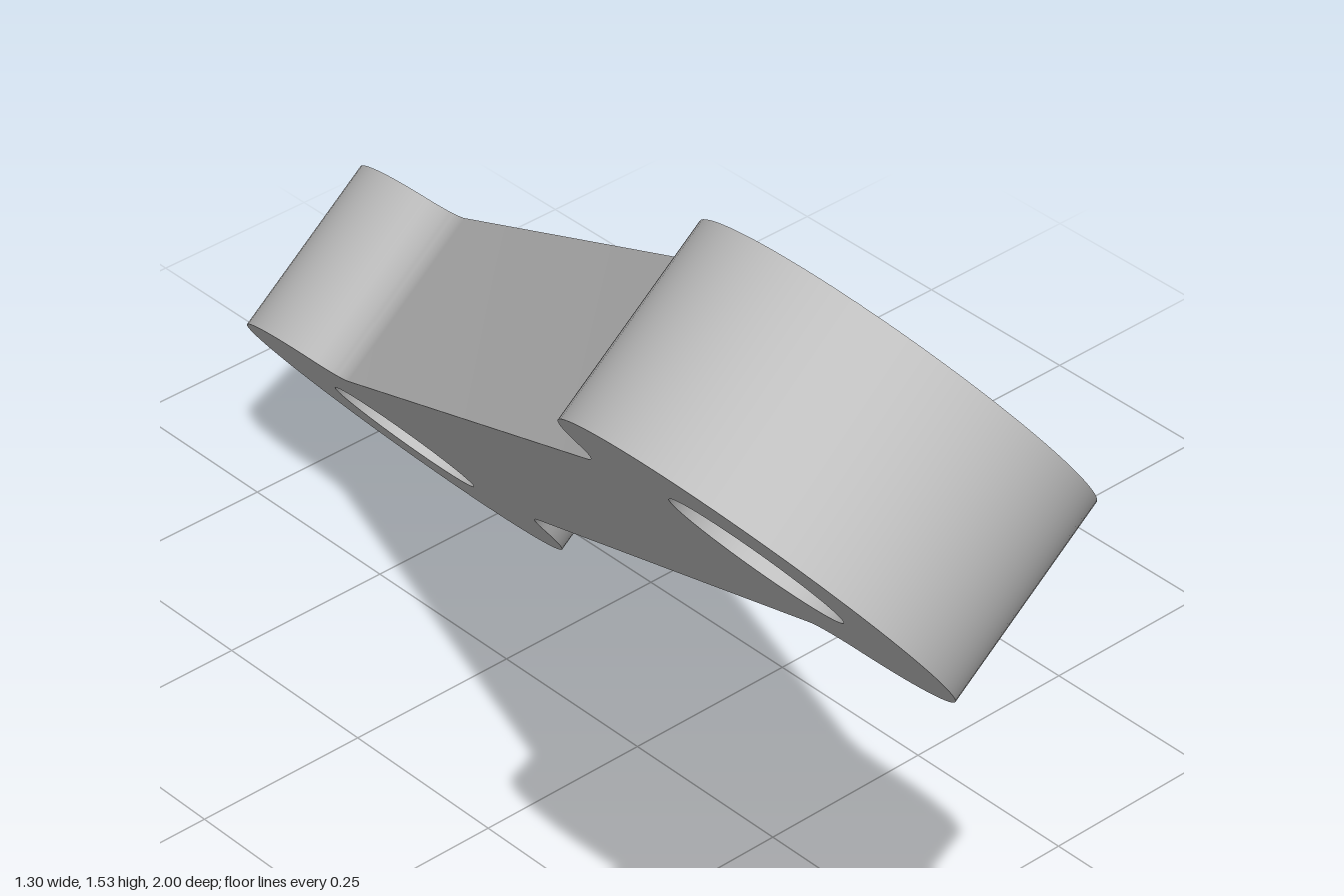
import * as THREE from 'three';
import { toCreasedNormals } from 'three/addons/utils/BufferGeometryUtils.js';

const HALF_SPAN = 0.981;   // bar middle to eye centre
const EYE = 0.25;          // eye radius
const HOLE = 0.11;         // hole radius
const HALF_WIDTH = 0.15;   // half width of the bar
const FILLET = 0.15;       // fillet radius between bar and eye
const THICK = 0.252;

// Points along an arc, leaving out the first one when it repeats the previous point
function arc(cx, cy, r, from, to, n, skip = 0) {
  const pts = [];
  for (let i = skip; i <= n; i++) {
    const a = from + (to - from) * i / n;
    pts.push(new THREE.Vector2(cx + r * Math.cos(a), cy + r * Math.sin(a)));
  }
  return pts;
}

// Link outline: two round eyes blended into a straight bar
function linkShape() {
  const off = HALF_WIDTH + FILLET;
  const d = Math.sqrt((EYE + FILLET) ** 2 - off ** 2);
  const a = Math.atan2(off, d);
  const end = [
    ...arc(HALF_SPAN - d, -off, FILLET, Math.PI / 2, a, 12),
    ...arc(HALF_SPAN, 0, EYE, a - Math.PI, Math.PI - a, 64, 1),
    ...arc(HALF_SPAN - d, off, FILLET, -a, -Math.PI / 2, 12, 1),
  ];
  const otherEnd = end.map((p) => p.clone().negate());
  const shape = new THREE.Shape([...end, ...otherEnd]);
  for (const s of [-1, 1]) {
    shape.holes.push(new THREE.Path().absarc(s * HALF_SPAN, 0, HOLE, 0, Math.PI * 2, true));
  }
  return shape;
}

export function createModel() {
  const grey = new THREE.MeshStandardMaterial({ color: 0xc0c0c0 });
  grey.name = 'grey metal';

  let geo = new THREE.ExtrudeGeometry(linkShape(), {
    depth: THICK, bevelEnabled: false, curveSegments: 32,
  });
  geo.translate(0, 0, -THICK / 2);
  geo = toCreasedNormals(geo, Math.PI / 6);

  const link = new THREE.Mesh(geo, grey);
  link.name = 'linkArm';

  // Lean the link: its flat face looks up and to +x, its high end is at +z
  const along = new THREE.Vector3(-0.403, 0.502, 0.765).normalize();
  const face = new THREE.Vector3(0.78, 0.626, 0).normalize();
  const across = new THREE.Vector3().crossVectors(face, along).normalize();
  along.crossVectors(across, face);
  link.quaternion.setFromRotationMatrix(new THREE.Matrix4().makeBasis(along, across, face));
  link.position.y = 0.767;

  const model = new THREE.Group();
  model.name = 'connectingLink';
  model.add(link);
  return model;
}
